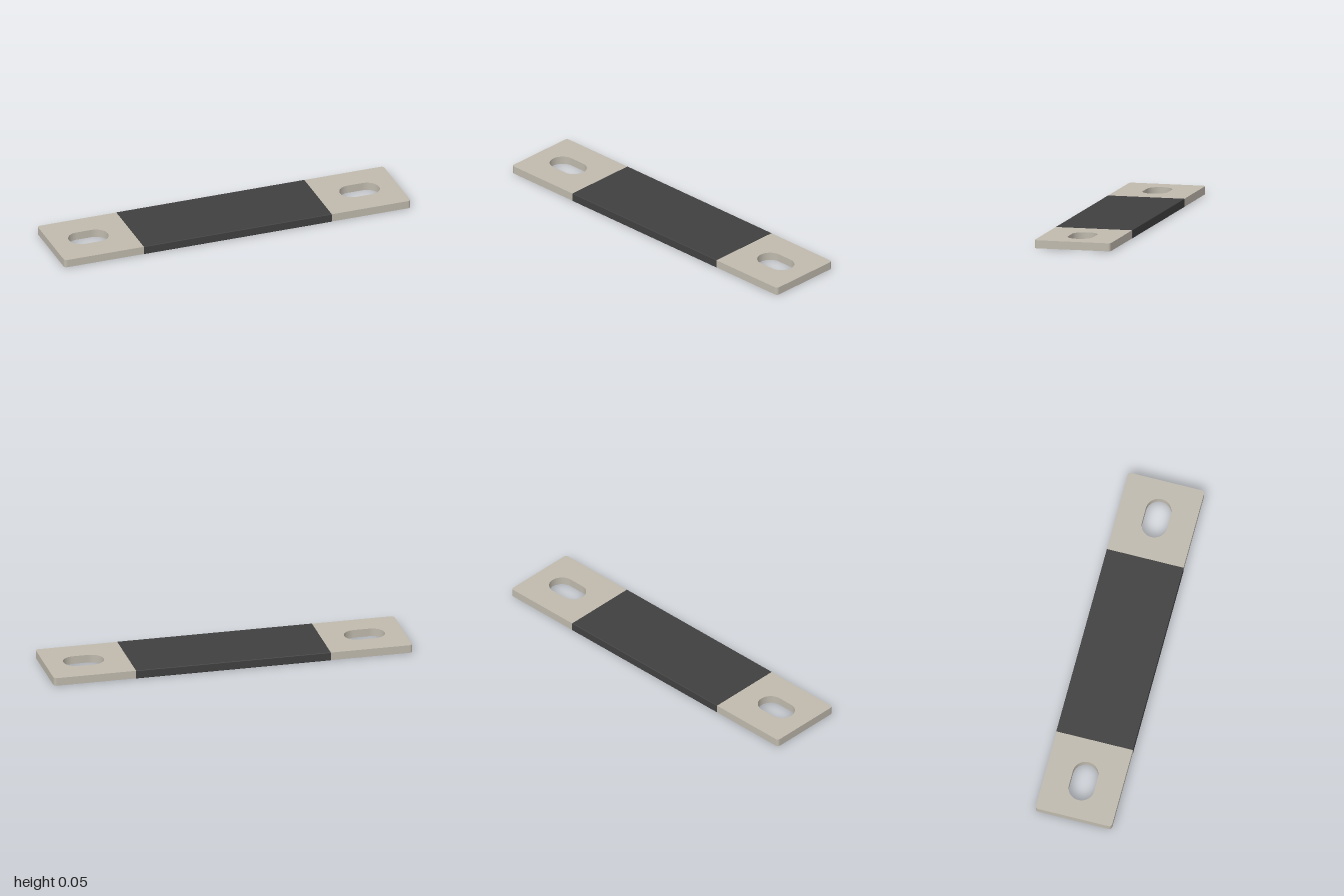
import * as THREE from 'three';

// Adds a rounded rectangle centred on (cx, 0) to a shape or path
function roundedRect(path, cx, hw, hh, r) {
  path.absarc(cx + hw - r, hh - r, r, 0, Math.PI / 2);
  path.absarc(cx - hw + r, hh - r, r, Math.PI / 2, Math.PI);
  path.absarc(cx - hw + r, -hh + r, r, Math.PI, Math.PI * 1.5);
  path.absarc(cx + hw - r, -hh + r, r, Math.PI * 1.5, Math.PI * 2);
  path.closePath();
  return path;
}

export function createModel() {
  const group = new THREE.Group();
  group.name = 'slottedBusbar';
  const height = 0.047, skin = 0.0015;

  // Flat metal bar with rounded corners and a slot near each end
  const outline = roundedRect(new THREE.Shape(), 0, 1, 0.2135, 0.016);
  for (const side of [-1, 1]) {
    outline.holes.push(roundedRect(new THREE.Path(), side * 0.783, 0.1125, 0.07, 0.0699));
  }
  const barGeometry = new THREE.ExtrudeGeometry(outline, {
    depth: height - 2 * skin, bevelEnabled: false, curveSegments: 12,
  });
  barGeometry.rotateX(-Math.PI / 2).translate(0, skin, 0);
  const bar = new THREE.Mesh(barGeometry, new THREE.MeshStandardMaterial({ color: 0xbfb9ad }));
  bar.name = 'metalBar';
  group.add(bar);

  // Thin insulating sleeve wrapped around the middle
  const section = roundedRect(new THREE.Shape(), 0, 0.215, height / 2, 0.004);
  section.holes.push(roundedRect(new THREE.Path(), 0, 0.2135, height / 2 - skin, 0.002));
  const length = 1.085;
  const sleeveGeometry = new THREE.ExtrudeGeometry(section, {
    depth: length, bevelEnabled: false, curveSegments: 6,
  });
  sleeveGeometry.translate(0, 0, -length / 2).rotateY(Math.PI / 2).translate(0, height / 2, 0);
  const sleeve = new THREE.Mesh(sleeveGeometry, new THREE.MeshStandardMaterial({ color: 0x404040 }));
  sleeve.name = 'insulatingSleeve';
  group.add(sleeve);

  return group;
}
